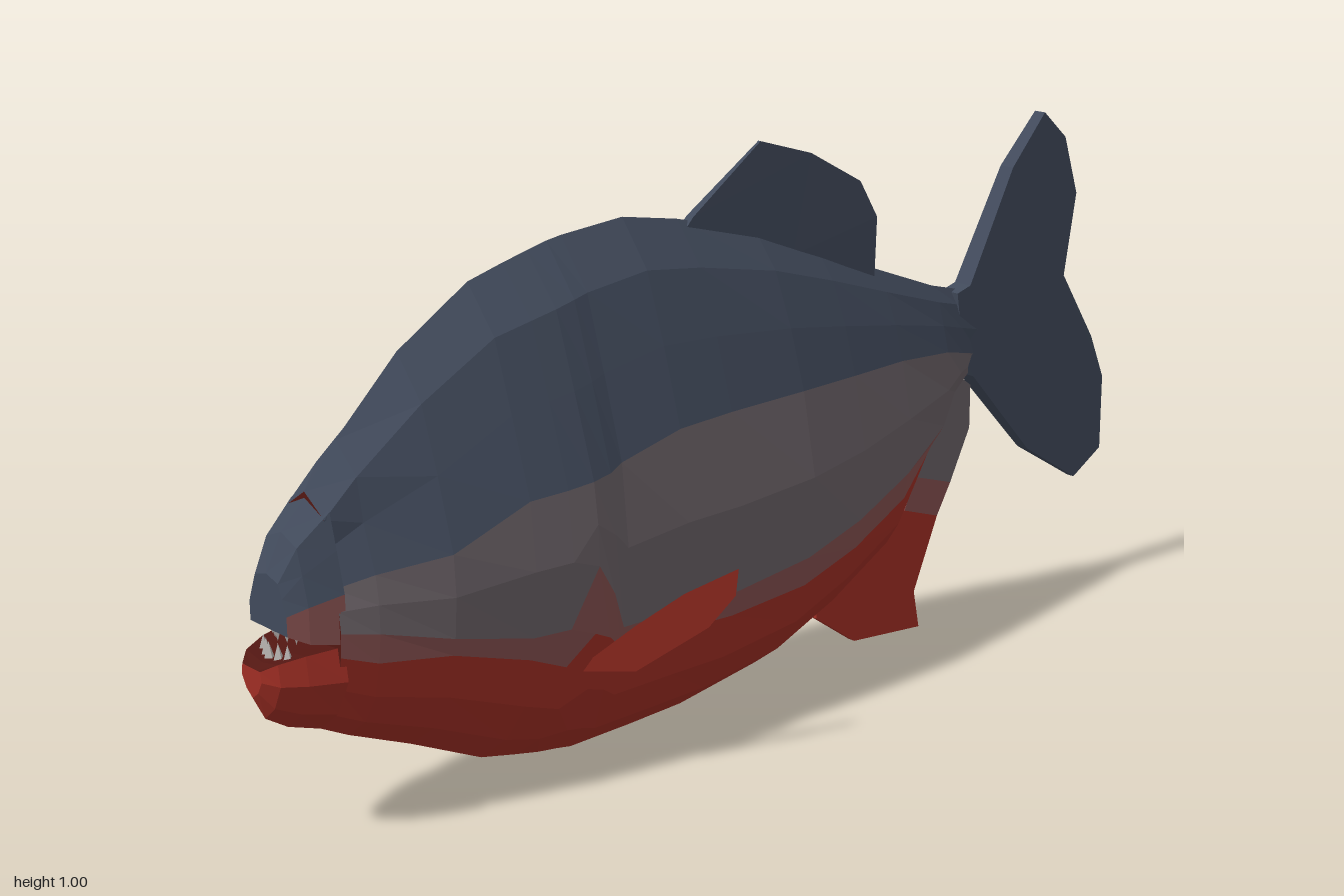
import * as THREE from 'three';

const mat = (name, color) => {
  const m = new THREE.MeshStandardMaterial({ color, flatShading: true, side: THREE.DoubleSide });
  m.name = name;
  return m;
};

export function createModel() {
  const M = {
    slate: mat('slate back', 0x414a5b),
    grey: mat('warm grey flank', 0x6a6166),
    blend: mat('rosy transition', 0x85504f),
    red: mat('red belly', 0xa02e24),
    mouth: mat('dark mouth', 0x531712),
    teeth: mat('teeth', 0xb9b4b2),
  };
  const model = new THREE.Group();
  model.name = 'fish';

  // Lofts mirrored half-sections (bottom to top); one mesh per colour.
  function loft(name, zs, sections, bands, cap) {
    const group = new THREE.Group();
    group.name = name;
    const bins = {};
    const quad = (key, a, b, c, d, flip) => {
      const order = flip ? [a, c, b, a, d, c] : [a, b, c, a, c, d];
      (bins[key] ??= []).push(...order.flat());
    };
    for (const side of [1, -1]) {
      const p = (s, r, x = sections[s][r][0]) => [side * x, sections[s][r][1], zs[s]];
      for (let r = 0; r < bands.length; r++) {
        for (let s = 0; s < zs.length - 1; s++)
          quad(bands[r], p(s, r), p(s, r + 1), p(s + 1, r + 1), p(s + 1, r), side < 0);
        const e = zs.length - 1;
        quad(cap, p(e, r), p(e, r + 1), p(e, r + 1, 0), p(e, r, 0), side < 0);
        quad(bands[r], p(0, r), p(0, r, 0), p(0, r + 1, 0), p(0, r + 1), side < 0);
      }
    }
    for (const key in bins) {
      const g = new THREE.BufferGeometry();
      g.setAttribute('position', new THREE.Float32BufferAttribute(bins[key], 3));
      g.computeVertexNormals();
      const mesh = new THREE.Mesh(g, M[key]);
      mesh.name = `${name} ${key}`;
      group.add(mesh);
    }
    model.add(group);
  }

  // Relative half-width over relative height of the body
  const widths = [[0, 0], [0.055, 0.39], [0.15, 0.75], [0.33, 0.95], [0.46, 1], [0.58, 0.95], [0.9, 0.43], [1, 0]];
  const widthAt = (t) => {
    let i = 1;
    while (i < widths.length - 1 && t > widths[i][0]) i++;
    const [a, fa] = widths[i - 1], [b, fb] = widths[i];
    return fa + (fb - fa) * (t - a) / (b - a);
  };

  // Body stations: z, bottom, top, half-width, red line, rosy line, slate line, forehead half-width
  const body = [
    [-0.62, 0.5, 0.645, 0.018, 0.505, 0.51, 0.525, 0],
    [-0.56, 0.45, 0.66, 0.03, 0.455, 0.46, 0.54, 0],
    [-0.5, 0.36, 0.675, 0.052, 0.37, 0.41, 0.555, 0],
    [-0.35, 0.18, 0.73, 0.098, 0.31, 0.36, 0.57, 0],
    [-0.2, 0.1, 0.79, 0.13, 0.255, 0.31, 0.575, 0],
    [-0.05, 0.04, 0.845, 0.157, 0.225, 0.28, 0.58, 0],
    [0.13, 0.01, 0.89, 0.165, 0.215, 0.26, 0.58, 0],
    [0.25, 0.004, 0.91, 0.166, 0.22, 0.26, 0.575, 0],
    [0.38, 0, 0.898, 0.164, 0.22, 0.26, 0.545, 0],
    [0.41, 0.005, 0.893, 0.17, 0.25, 0.33, 0.535, 0],
    [0.45, 0.01, 0.883, 0.176, 0.27, 0.39, 0.53, 0],
    [0.5, 0.02, 0.87, 0.172, 0.22, 0.29, 0.525, 0],
    [0.57, 0.035, 0.85, 0.163, 0.25, 0.29, 0.52, 0.03],
    [0.71, 0.1, 0.76, 0.14, 0.29, 0.32, 0.46, 0.055],
    [0.83, 0.15, 0.64, 0.105, 0.3, 0.35, 0.445, 0.055],
    [0.89, 0.18, 0.57, 0.085, 0.32, 0.36, 0.43, 0.052],
  ];
  const mix = THREE.MathUtils.lerp;
  loft('body', body.map((b) => b[0]), body.map(([, lo, hi, w, red, rosy, slate, brow]) => {
    const ys = [lo, mix(lo, red, 0.25), mix(lo, red, 0.6), red, rosy, mix(rosy, slate, 0.5),
      slate, mix(slate, hi, 0.4), mix(slate, hi, 0.76), hi];
    return ys.map((y, i) => {
      const x = w * widthAt((y - lo) / (hi - lo));
      return [i === 8 ? Math.max(x, brow) : x, y];
    });
  }), ['red', 'red', 'red', 'blend', 'grey', 'grey', 'slate', 'slate', 'slate'], 'mouth');

  // Snout above the open mouth: z, bottom, top, half-width
  const snout = [[0.88, 0.34, 0.57, 0.085], [0.935, 0.35, 0.515, 0.068], [0.965, 0.365, 0.455, 0.052]];
  loft('snout', snout.map((s) => s[0]), snout.map(([, lo, hi, w]) => [
    [0, lo], [w, lo], [w, mix(lo, hi, 0.36)], [w * 0.8, mix(lo, hi, 0.65)], [w * 0.62, mix(lo, hi, 0.9)], [0, hi],
  ]), ['mouth', 'blend', 'slate', 'slate', 'slate'], 'slate');

  // Jutting lower jaw
  const jaw = [[0.88, 0.175, 0.335, 0.085], [0.94, 0.195, 0.33, 0.068], [0.98, 0.22, 0.322, 0.05], [1, 0.26, 0.31, 0.028]];
  loft('lower jaw', jaw.map((s) => s[0]), jaw.map(([, lo, hi, w]) => [
    [0, lo], [w * 0.6, mix(lo, hi, 0.25)], [w, mix(lo, hi, 0.65)], [w * 0.9, hi], [0, hi - 0.008],
  ]), ['red', 'red', 'red', 'mouth'], 'red');

  // Small pointed teeth in both jaws
  const tooth = new THREE.ConeGeometry(0.009, 0.026, 4);
  for (let i = -2; i <= 2; i++) {
    for (const up of [true, false]) {
      const t = new THREE.Mesh(tooth, M.teeth);
      t.name = up ? 'lowerTooth' : 'upperTooth';
      t.position.set(i * 0.017, up ? 0.332 : 0.354, (up ? 0.967 : 0.95) - Math.abs(i) * 0.006);
      if (!up) t.rotation.x = Math.PI;
      model.add(t);
    }
  }

  // Upright fins from (z, y) outlines, thinning by a rule
  function fin(name, material, pts, half) {
    const shape = new THREE.Shape(pts.map(([z, y]) => new THREE.Vector2(z, y)));
    const g = new THREE.ExtrudeGeometry(shape, { depth: 2, bevelEnabled: false });
    g.translate(0, 0, -1).rotateY(-Math.PI / 2);
    const p = g.attributes.position;
    for (let i = 0; i < p.count; i++) p.setX(i, p.getX(i) * half(p.getZ(i), p.getY(i)));
    g.computeVertexNormals();
    const mesh = new THREE.Mesh(g, material);
    mesh.name = name;
    model.add(mesh);
  }
  fin('tailFin', M.slate, [[-0.55, 0.655], [-0.585, 0.665], [-0.7, 0.875], [-0.79, 0.97], [-0.855, 0.915],
    [-0.895, 0.8], [-0.865, 0.64], [-0.96, 0.5], [-1, 0.41], [-1, 0.26], [-0.92, 0.215], [-0.77, 0.305],
    [-0.6, 0.485], [-0.57, 0.53]], (z) => mix(0.02, 0.006, THREE.MathUtils.clamp((-0.58 - z) / 0.4, 0, 1)));
  fin('dorsalFin', M.slate, [[0.13, 0.86], [0.1, 0.89], [-0.06, 1], [-0.18, 0.965], [-0.3, 0.9], [-0.34, 0.83],
    [-0.335, 0.72], [-0.13, 0.79]], (z, y) => mix(0.012, 0.003, THREE.MathUtils.clamp((y - 0.82) / 0.18, 0, 1)));
  const thin = () => 0.008;
  fin('analFin', M.red, [[-0.2, 0.14], [-0.2, 0.09], [-0.3, 0.02], [-0.475, 0.005], [-0.46, 0.08], [-0.52, 0.22],
    [-0.43, 0.25], [-0.36, 0.22]], thin);
  fin('analFinTransition', M.blend, [[-0.52, 0.22], [-0.555, 0.28], [-0.46, 0.31], [-0.43, 0.25]], thin);
  fin('analFinTop', M.grey, [[-0.555, 0.28], [-0.605, 0.38], [-0.605, 0.465], [-0.57, 0.49], [-0.52, 0.42],
    [-0.46, 0.31]], thin);

  // Side fins sweeping out and back
  const outline = [[0.48, 0.205], [0.38, 0.27], [0.3, 0.315], [0.21, 0.347], [0.215, 0.3], [0.26, 0.25], [0.38, 0.19]];
  for (const side of [1, -1]) {
    const g = new THREE.ShapeGeometry(new THREE.Shape(outline.map(([z, y]) => new THREE.Vector2(z, y))));
    const p = g.attributes.position;
    for (let i = 0; i < p.count; i++) {
      const z = p.getX(i);
      p.setXYZ(i, side * (0.166 + (0.41 - z) * 0.39), p.getY(i), z);
    }
    g.computeVertexNormals();
    const mesh = new THREE.Mesh(g, M.red);
    mesh.name = side > 0 ? 'leftPectoralFin' : 'rightPectoralFin';
    model.add(mesh);
  }
  return model;
}
